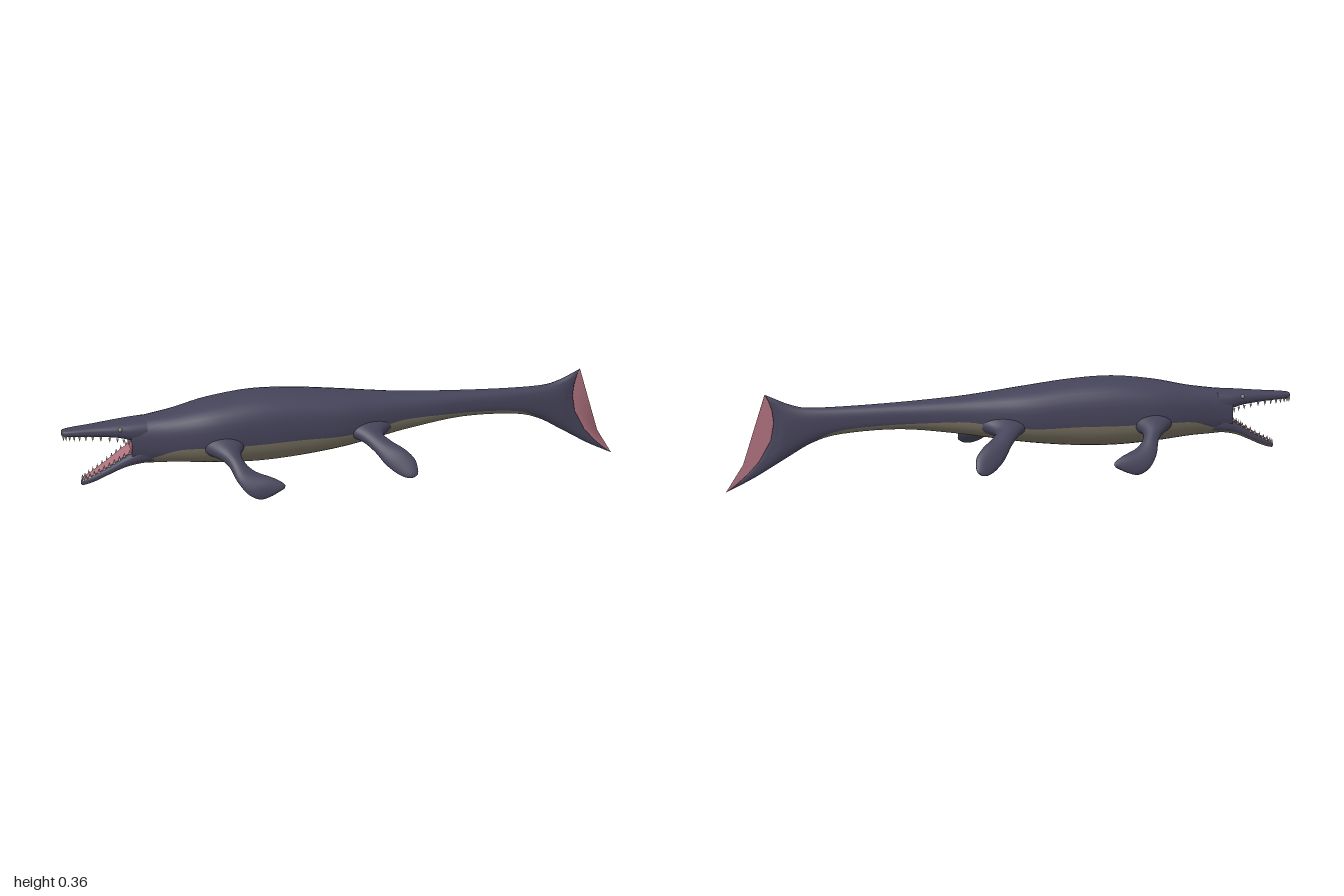
import * as THREE from 'three';
import { mergeGeometries } from 'three/addons/utils/BufferGeometryUtils.js';

const mat = (name, color) => {
  const m = new THREE.MeshStandardMaterial({ color });
  m.name = name;
  return m;
};

const UP = 20, LOW = 16, M = UP + LOW, POWER = 2.6;

// Smoothly resample rows of numbers
function resample(keys, steps) {
  const out = [], last = keys.length - 1;
  for (let i = 0; i < last; i++) {
    const [a, b, c, d] = [keys[Math.max(i - 1, 0)], keys[i], keys[i + 1], keys[Math.min(i + 2, last)]];
    for (let k = 0; k < steps; k++) {
      const t = k / steps;
      out.push(b.map((v, n) => v + 0.5 * t * (c[n] - a[n] + t * (2 * a[n] - 5 * v + 4 * c[n] - d[n]
        + t * (3 * (v - c[n]) + d[n] - a[n])))));
    }
  }
  out.push(keys[last]);
  return out;
}

const spow = (v, p) => Math.sign(v) * Math.abs(v) ** p;

// Ring between a top and a bottom point: [xTop, yTop, xBottom, yBottom, halfWidth, colourSplit, bend]
function bodyRing([xt, yt, xb, yb, w, split, bend]) {
  const f = Math.max(-0.999, Math.min(0.9, split));
  const t0 = Math.asin(spow(f, POWER / 2));
  const pts = [];
  for (let j = 0; j < M; j++) {
    const t = j < UP ? t0 + (Math.PI - 2 * t0) * j / UP
      : Math.PI - t0 + (Math.PI + 2 * t0) * (j - UP) / LOW;
    const s = spow(Math.sin(t), 2 / POWER), c = spow(Math.cos(t), 2 / POWER);
    pts.push(new THREE.Vector3((xt + xb) / 2 + s * (xt - xb) / 2 + bend * (1 - s * s),
      (yt + yb) / 2 + s * (yt - yb) / 2, c * Math.max(w, 0)));
  }
  return pts;
}

// Skin a list of rings; groups: 0 upper band, 1 lower band, 2 end caps
function loft(rings) {
  const pos = [], bands = [[], [], []];
  rings.forEach(r => r.forEach(p => pos.push(p.x, p.y, p.z)));
  for (let i = 0; i < rings.length - 1; i++) {
    for (let j = 0; j < M; j++) {
      const a = i * M + j, b = i * M + (j + 1) % M;
      bands[j < UP ? 0 : 1].push(a, a + M, b, b, a + M, b + M);
    }
  }
  [rings[0], rings[rings.length - 1]].forEach((r, end) => {
    const base = pos.length / 3, mid = new THREE.Vector3();
    r.forEach(p => { mid.addScaledVector(p, 1 / M); pos.push(p.x, p.y, p.z); });
    pos.push(mid.x, mid.y, mid.z);
    for (let j = 0; j < M; j++) {
      const a = base + j, b = base + (j + 1) % M;
      bands[2].push(base + M, ...(end ? [b, a] : [a, b]));
    }
  });
  // Turn faces outwards
  const v = i => new THREE.Vector3().fromArray(pos, i * 3);
  const all = bands.flat();
  let volume = 0;
  for (let i = 0; i < all.length; i += 3) volume += v(all[i]).dot(v(all[i + 1]).cross(v(all[i + 2])));
  if (volume < 0) for (let i = 0; i < all.length; i += 3) [all[i], all[i + 1]] = [all[i + 1], all[i]];
  const g = new THREE.BufferGeometry();
  g.setAttribute('position', new THREE.Float32BufferAttribute(pos, 3));
  g.setIndex(all);
  let start = 0;
  bands.forEach((b, k) => { g.addGroup(start, b.length, k); start += b.length; });
  g.computeVertexNormals();
  return g;
}

// Paddle rings: [leading xyz, trailing xyz, halfThickness]
function paddle(keys, side) {
  const rows = resample(keys, 5);
  const edge = (r, o) => new THREE.Vector3(r[o], r[o + 1], r[o + 2] * side);
  const mid = r => edge(r, 0).add(edge(r, 3)).multiplyScalar(0.5);
  return loft(rows.map((r, i) => {
    const half = edge(r, 3).sub(edge(r, 0)).multiplyScalar(0.5);
    const span = mid(rows[Math.min(i + 1, rows.length - 1)]).sub(mid(rows[Math.max(i - 1, 0)]));
    const n = half.clone().cross(span).normalize().multiplyScalar(r[6]);
    return Array.from({ length: M }, (_, j) => {
      const t = j / M * Math.PI * 2;
      return mid(r).addScaledVector(half, Math.cos(t)).addScaledVector(n, Math.sin(t));
    });
  }));
}

export function createModel() {
  const model = new THREE.Group();
  model.name = 'marineReptile';
  const back = mat('slate back', 0x454359), belly = mat('olive belly', 0x787160);
  const flesh = mat('pink mouth', 0xb0727f), ivory = mat('ivory teeth', 0xd2cabb);
  const eyeMat = mat('grey eye', 0x8d8a80);
  const add = (name, geometry, material) => {
    const mesh = new THREE.Mesh(geometry, material);
    mesh.name = name;
    model.add(mesh);
  };
  const upright = rows => rows.map(([x, t, b, w, f]) => [x, t, x, b, w, f, 0]);
  const loftKeys = keys => loft(resample(keys, 5).map(bodyRing));

  // Trunk and tail fluke in one skin
  add('body', loftKeys([
    ...upright([
      [-0.775, 0.302, 0.152, 0.057, -0.85], [-0.7, 0.311, 0.148, 0.07, -0.6],
      [-0.62, 0.322, 0.145, 0.09, -0.3], [-0.5, 0.346, 0.134, 0.117, -0.27],
      [-0.35, 0.362, 0.124, 0.12, -0.28], [-0.2, 0.355, 0.128, 0.114, -0.28],
      [-0.05, 0.337, 0.143, 0.106, -0.35], [0.08, 0.321, 0.162, 0.083, -0.3],
      [0.2, 0.308, 0.181, 0.063, -0.2], [0.4, 0.295, 0.203, 0.042, -0.5],
      [0.6, 0.287, 0.193, 0.03, -0.65]]),
    [0.72, 0.288, 0.70, 0.166, 0.026, -0.97, 0],
    [0.78, 0.303, 0.79, 0.115, 0.022, -0.999, 0],
    [0.83, 0.325, 0.90, 0.05, 0.016, -0.999, -0.05],
    [0.852, 0.335, 0.985, 0.008, 0.01, -0.999, -0.075],
    [0.857, 0.338, 1, 0, 0, -0.999, -0.085],
  ]), [back, belly, flesh]);

  // Jaws
  const upper = [[-1, 0.28, 0.27, 0, -0.6], [-0.994, 0.286, 0.265, 0.018, -0.6],
    [-0.96, 0.29, 0.262, 0.027, -0.7], [-0.9, 0.294, 0.258, 0.035, -0.75],
    [-0.82, 0.3, 0.249, 0.05, -0.8], [-0.77, 0.304, 0.235, 0.058, -0.8], [-0.72, 0.307, 0.225, 0.06, -0.8]];
  const lower = [[-0.945, 0.097, 0.09, 0, -0.5], [-0.937, 0.107, 0.086, 0.014, -0.5],
    [-0.9, 0.126, 0.097, 0.026, -0.5], [-0.85, 0.155, 0.12, 0.038, -0.5],
    [-0.8, 0.187, 0.141, 0.05, -0.5], [-0.75, 0.215, 0.151, 0.059, -0.6], [-0.7, 0.225, 0.152, 0.06, -0.6]];
  add('upperJaw', loftKeys(upright(upper)), [back, flesh, flesh]);
  add('lowerJaw', loftKeys(upright(lower)), [back, belly, back]);
  // Tongue and mouth floor
  add('mouthFloor', loftKeys(upright(lower.slice(1, 6).map(([x, t, , w]) =>
    [x, t + 0.003, t - 0.005, w * 0.8, 0]))), flesh);

  // Teeth along both jaws
  const teeth = [];
  const toothRow = (keys, edge, dir) => {
    const rows = resample(keys.slice(1, 6), 3);
    rows.forEach(r => {
      for (const side of [-1, 1]) {
        const cone = new THREE.ConeGeometry(0.0045, 0.016, 6);
        if (dir < 0) cone.rotateX(Math.PI);
        teeth.push(cone.translate(r[0], r[edge] + dir * 0.005, side * r[3] * 0.82));
      }
    });
  };
  toothRow(upper, 2, -1);
  toothRow(lower, 1, 1);
  add('teeth', mergeGeometries(teeth), ivory);

  // Paddles and eyes, mirrored
  const front = [[-0.57, 0.215, 0.07, -0.37, 0.215, 0.07, 0.05], [-0.515, 0.2, 0.135, -0.42, 0.2, 0.135, 0.03],
    [-0.475, 0.175, 0.18, -0.42, 0.172, 0.17, 0.022], [-0.455, 0.13, 0.225, -0.39, 0.148, 0.2, 0.019],
    [-0.425, 0.09, 0.25, -0.335, 0.133, 0.235, 0.014], [-0.385, 0.07, 0.257, -0.302, 0.114, 0.253, 0.009],
    [-0.345, 0.08, 0.26, -0.305, 0.1, 0.259, 0.002]];
  const rear = [[-0.06, 0.215, 0.06, 0.14, 0.215, 0.06, 0.04], [-0.005, 0.2, 0.115, 0.085, 0.2, 0.105, 0.027],
    [0.035, 0.165, 0.16, 0.1, 0.187, 0.145, 0.021], [0.065, 0.125, 0.195, 0.135, 0.17, 0.185, 0.018],
    [0.1, 0.097, 0.225, 0.163, 0.142, 0.215, 0.014], [0.13, 0.086, 0.245, 0.168, 0.112, 0.238, 0.008],
    [0.15, 0.088, 0.251, 0.165, 0.098, 0.249, 0.002]];
  for (const [label, side] of [['left', -1], ['right', 1]]) {
    add(label + 'FrontPaddle', paddle(front, side), back);
    add(label + 'RearPaddle', paddle(rear, side), back);
    add(label + 'Eye', new THREE.SphereGeometry(0.007, 12, 8).translate(-0.81, 0.284, side * 0.048), eyeMat);
  }
  return model;
}
